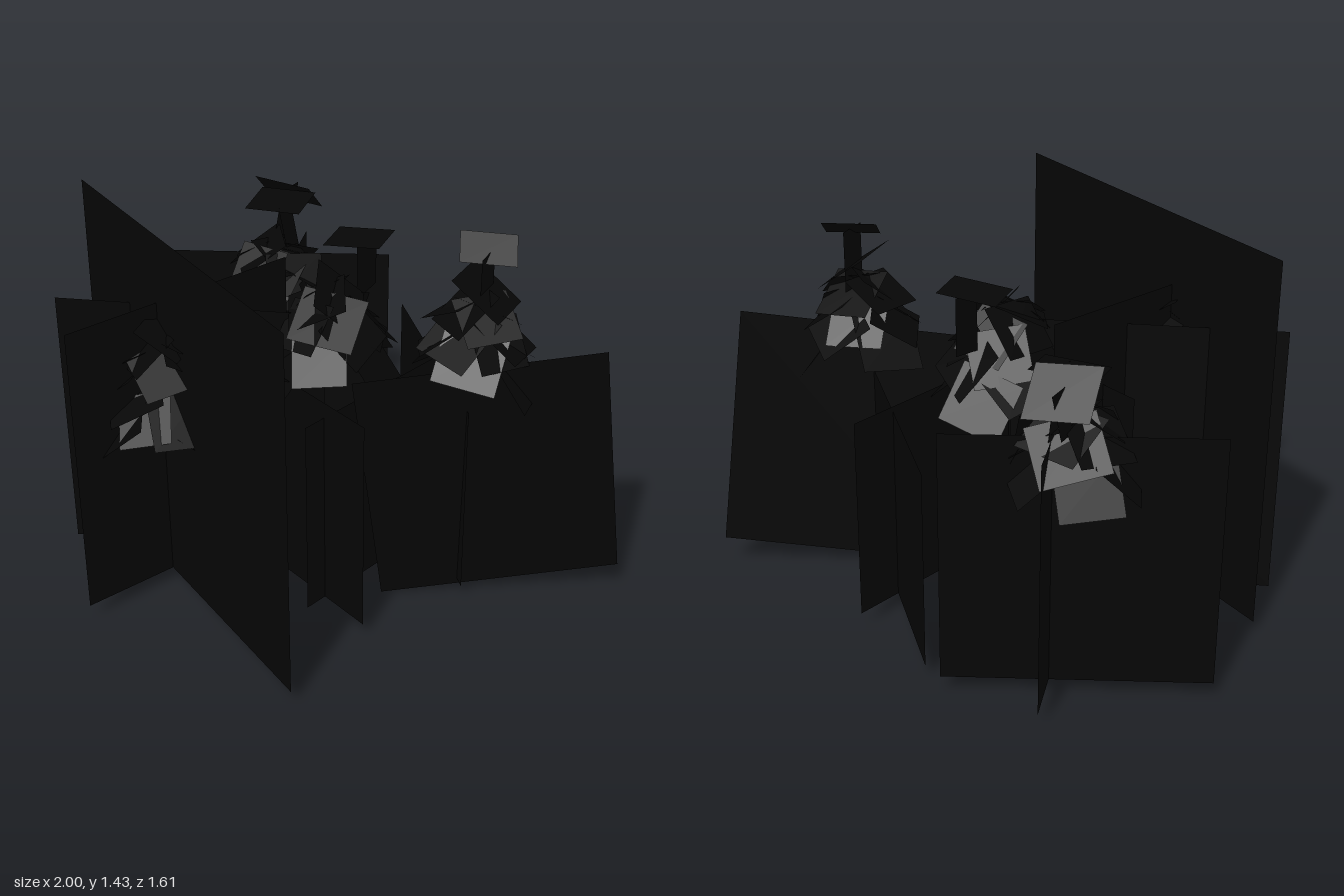
import * as THREE from 'three';

const dark = new THREE.MeshStandardMaterial({ color: 0x060606, side: THREE.DoubleSide });

// Flat card from two bottom corners and an up vector
function card(name, a, b, up) {
  const g = new THREE.PlaneGeometry(1, 1);
  const A = new THREE.Vector3(...a), E = new THREE.Vector3(...b).sub(A), U = new THREE.Vector3(...up);
  const p = g.attributes.position;
  for (let i = 0; i < p.count; i++) {
    const v = A.clone().addScaledVector(E, p.getX(i) + 0.5).addScaledVector(U, p.getY(i) + 0.5);
    p.setXYZ(i, v.x, v.y, v.z);
  }
  g.computeVertexNormals();
  const m = new THREE.Mesh(g, dark);
  m.name = name;
  return m;
}

// Upright card standing on y = 0.06
const upright = (name, x0, z0, x1, z1, top) =>
  card(name, [x0, 0.06, z0], [x1, 0.06, z1], [0, top - 0.06, 0]);

function seeded(s) {
  return () => (s = (s * 16807) % 2147483647) / 2147483647;
}

// Crown of square leaf cards, spiralling out and down from the top
function crown({ name, x, z, rx, rz, low, high, count, seed }) {
  const group = new THREE.Group(), rnd = seeded(seed);
  group.name = name;
  for (let i = 0; i < count; i++) {
    const t = (i + 0.5) / count, a = i * 2.4 + rnd() * 0.5, r = Math.sqrt(t);
    const size = 0.19 + 0.05 * rnd();
    const leaf = new THREE.Mesh(new THREE.PlaneGeometry(size, size * 0.95), dark);
    leaf.name = 'leaf';
    leaf.rotation.set(-Math.PI / 2 + 0.35 + 0.5 * rnd() + 0.3 * t, 0, (rnd() - 0.5) * 0.9);
    const holder = new THREE.Group();
    holder.position.set(
      x + Math.cos(a) * r * rx,
      high - (high - low) * (0.75 * t + 0.25 * rnd()),
      z + Math.sin(a) * r * rz
    );
    holder.rotation.y = Math.PI / 2 - a;
    holder.add(leaf);
    group.add(holder);
  }
  return group;
}

export function createModel() {
  const model = new THREE.Group();

  // Tall front plant
  model.add(
    upright('tallFrontCard', -1, -0.02, 0.12, 0.8, 1.43),
    upright('frontCrossCard', -0.74, 0.62, -0.29, -0.19, 1.17),
    upright('frontSideCard', -1, 0.235, -0.06, 0.02, 1.08)
  );

  // Back plant
  model.add(
    upright('backCard', -0.08, -0.72, -0.956, -0.435, 0.98),
    upright('backCrossCard', -0.46, -0.81, -0.32, 0.1, 0.98)
  );

  // Middle plant
  model.add(
    upright('middleCard', 0.22, 0.37, -0.54, -0.06, 0.88),
    upright('middleCrossCard', 0, 0.35, 0.33, -0.46, 0.82)
  );

  // Leaning plant on the left
  model.add(
    card('leaningCard', [0.19, 0, 0.09], [1, 0.115, -0.235], [-0.09, 0.917, 0.08]),
    upright('leaningCrossCard', -0.01, -0.68, 0.48, 0.03, 0.8)
  );

  // Leaf crowns
  model.add(
    crown({ name: 'backCrown', x: -0.47, z: -0.53, rx: 0.19, rz: 0.17, low: 0.82, high: 1.06, count: 14, seed: 11 }),
    crown({ name: 'frontCrown', x: -0.54, z: 0.34, rx: 0.17, rz: 0.13, low: 0.6, high: 1.12, count: 16, seed: 23 }),
    crown({ name: 'middleCrown', x: -0.05, z: -0.03, rx: 0.16, rz: 0.24, low: 0.82, high: 1.2, count: 16, seed: 37 }),
    crown({ name: 'leaningCrown', x: 0.47, z: -0.06, rx: 0.15, rz: 0.1, low: 0.88, high: 1.26, count: 14, seed: 51 })
  );

  // Raised leaves of the back plant
  model.add(
    card('backTopLeaf', [-0.6, 1.26, -0.64], [-0.38, 1.24, -0.64], [0, -0.13, -0.14]),
    card('backTopLeaf', [-0.58, 1.19, -0.49], [-0.36, 1.2, -0.49], [0, 0.02, -0.17]),
    card('backStemLeaf', [-0.5, 1, -0.56], [-0.48, 1, -0.68], [0, 0.2, -0.1]),
    card('backStemLeaf', [-0.45, 0.98, -0.59], [-0.43, 0.98, -0.66], [0, 0.22, 0.08])
  );

  // Raised leaves of the middle plant
  model.add(
    card('middleTopLeaf', [-0.13, 1.26, -0.15], [0.08, 1.28, -0.15], [0, 0, -0.17]),
    card('middleStemLeaf', [-0.02, 1.04, -0.2], [0.01, 1.06, -0.32], [0, 0.21, 0])
  );

  // Stem leaf and top leaf of the leaning plant
  model.add(
    card('topLeaf', [0.41, 1.345, -0.02], [0.6, 1.34, -0.06], [-0.03, 0.07, -0.1]),
    card('topStemLeaf', [0.49, 1.15, -0.01], [0.5, 1.15, -0.13], [0.003, 0.22, 0.005])
  );
  return model;
}
